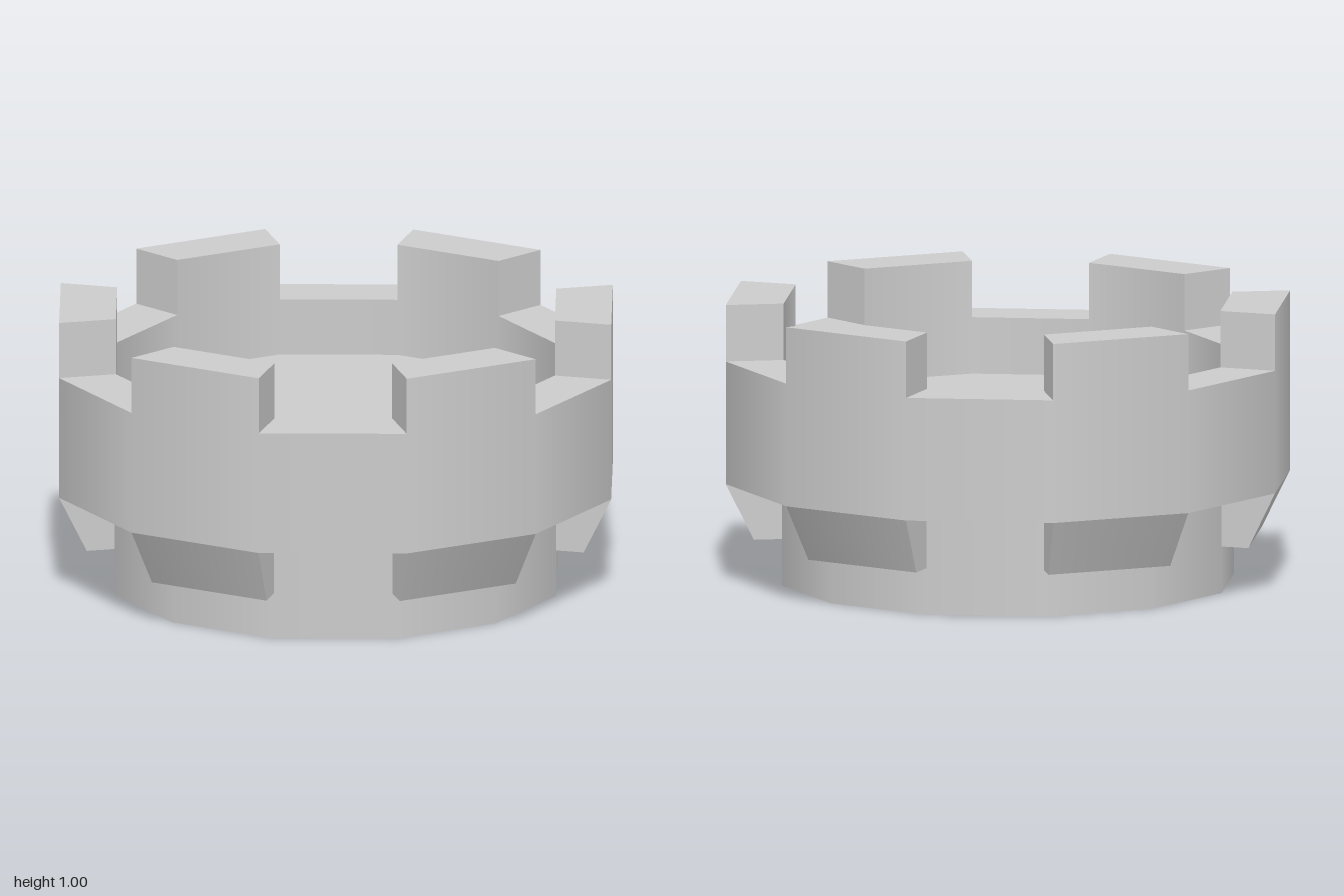
import * as THREE from 'three';
import { mergeGeometries } from 'three/addons/utils/BufferGeometryUtils.js';

const SIDES = 12;
const STEP = (Math.PI * 2) / SIDES;
const material = new THREE.MeshStandardMaterial({ color: 0xcccccc });

// Revolve each profile edge on its own: smooth around the axis, sharp between edges.
// Profiles run counter-clockwise in (radius, height).
function revolve(profile, start, sides) {
  const bands = [];
  for (let i = 0; i < profile.length - 1; i++) {
    const edge = [profile[i], profile[i + 1]].map(([r, y]) => new THREE.Vector2(r, y));
    const band = new THREE.LatheGeometry(edge, sides, start, sides * STEP);
    band.normalizeNormals();
    bands.push(band);
  }
  return bands;
}

// Flat end of a block, lying in the radial plane at the given angle.
function endCap(profile, angle, side) {
  const shape = new THREE.Shape(profile.map(([r, y]) => new THREE.Vector2(-side * r, y)));
  return new THREE.ShapeGeometry(shape).rotateY(angle + (side * Math.PI) / 2);
}

function addMesh(group, name, geometries) {
  const mesh = new THREE.Mesh(mergeGeometries(geometries), material);
  mesh.name = name;
  group.add(mesh);
}

// One-side-wide block with both ends closed.
function addBlock(group, name, profile, start) {
  addMesh(group, name, [
    ...revolve(profile, start, 1),
    endCap(profile, start, -1),
    endCap(profile, start + STEP, 1),
  ]);
}

export function createModel() {
  const tower = new THREE.Group();
  tower.name = 'towerTop';

  // Round base with flat bottom
  addMesh(tower, 'base', revolve([[0, 0], [0.8, 0], [0.8, 0.365]], 0, SIDES));

  // Overhanging parapet wall
  addMesh(tower, 'parapet', revolve(
    [[0.8, 0.365], [1, 0.365], [1, 0.8], [0.795, 0.8], [0.795, 0.6]], 0, SIDES));

  // Sunken floor inside the parapet
  addMesh(tower, 'floor', revolve([[0.795, 0.6], [0, 0.6]], 0, SIDES));

  // Merlons above and tapered corbels below, on every other side
  const merlon = [[1, 0.8], [1, 1], [0.795, 1], [0.795, 0.8]];
  const corbel = [[0.8, 0.165], [0.9, 0.165], [1, 0.365], [0.8, 0.365]];
  for (let i = 1; i < SIDES; i += 2) {
    addBlock(tower, 'merlon', merlon, i * STEP);
    addBlock(tower, 'corbel', corbel, i * STEP);
  }
  return tower;
}
